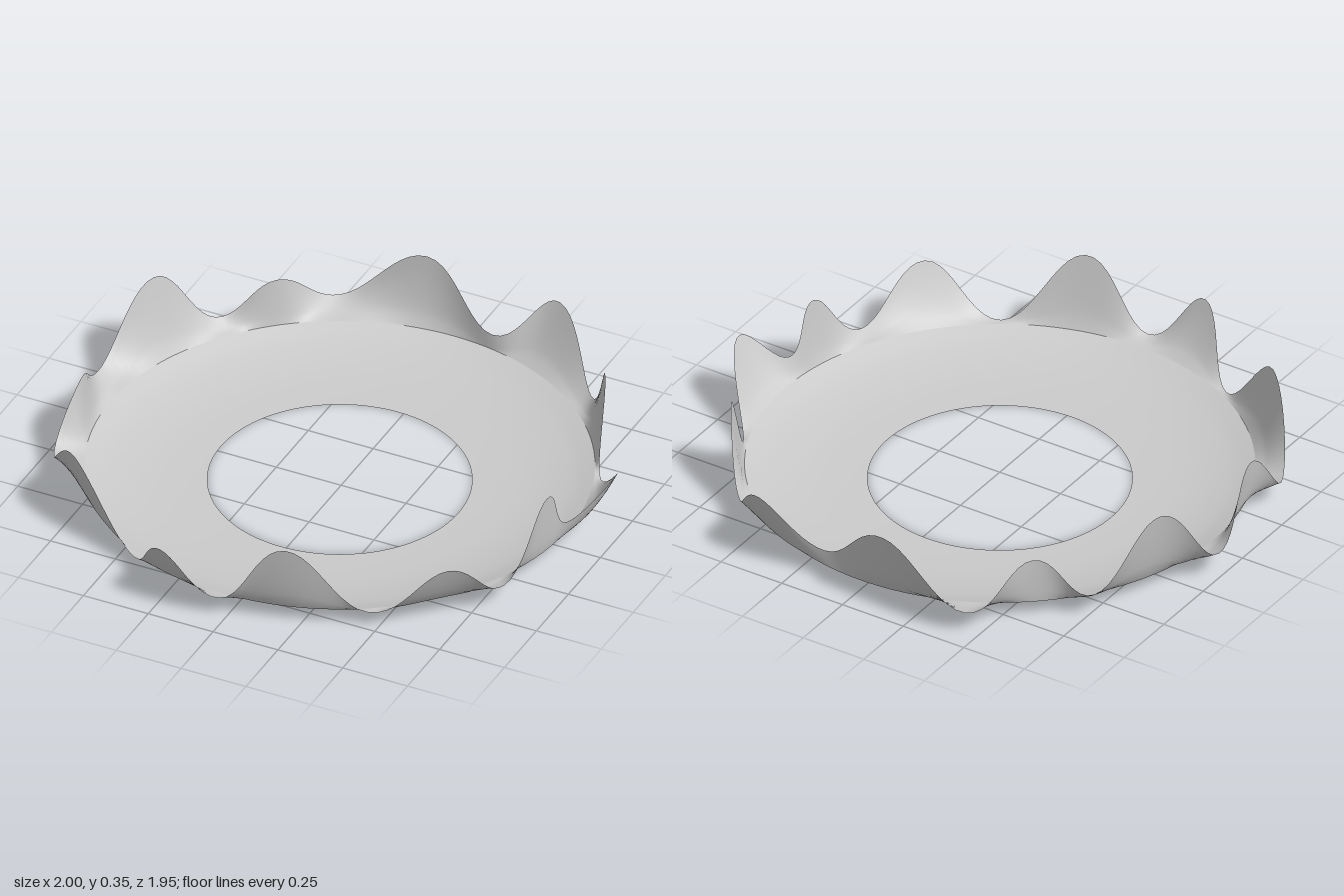
import * as THREE from 'three';

const CENTRE = new THREE.Vector3(-0.02, 0, -0.03);
const SEGMENTS = 240;

// Top edge of the crown, alternating peak and valley
const EDGE = [
  [-0.22, 0.26, 0.97], [-0.02, 0.08, 0.91],
  [0.22, 0.335, 0.885], [0.47, 0.06, 0.735],
  [0.73, 0.26, 0.65], [0.83, 0.08, 0.4],
  [0.875, 0.31, 0.165], [0.89, 0.14, 0.04],
  [1.0, 0.27, -0.13], [0.81, 0.055, -0.38],
  [0.74, 0.335, -0.565], [0.6, 0.1, -0.74],
  [0.37, 0.29, -0.96], [0.14, 0.12, -0.9],
  [-0.15, 0.315, -0.975], [-0.46, 0.09, -0.93],
  [-0.6, 0.24, -0.715], [-0.78, 0.1, -0.6],
  [-0.915, 0.355, -0.39], [-1.0, 0.1, -0.15],
  [-0.92, 0.27, 0.17], [-0.92, 0.09, 0.38],
  [-0.7, 0.31, 0.66], [-0.43, 0.06, 0.775],
];

// Shallow dish section: radius, height
const DISH = [[0.458, 0], [0.6, 0.004], [0.7, 0.015], [0.79, 0.03], [0.84, 0.045], [0.883, 0.06]];
const RIM = DISH[DISH.length - 1];

// Closed ring surface from rows of points
function ringSurface(rows) {
  const position = rows.flat().flatMap((p) => [p.x, p.y, p.z]);
  const index = [];
  for (let r = 0; r < rows.length - 1; r++) {
    for (let i = 0; i < SEGMENTS; i++) {
      const j = (i + 1) % SEGMENTS;
      const a = r * SEGMENTS + i, b = r * SEGMENTS + j;
      const c = a + SEGMENTS, d = b + SEGMENTS;
      index.push(a, c, b, b, c, d);
    }
  }
  const geometry = new THREE.BufferGeometry();
  geometry.setAttribute('position', new THREE.Float32BufferAttribute(position, 3));
  geometry.setIndex(index);
  geometry.computeVertexNormals();
  return geometry;
}

export function createModel() {
  const group = new THREE.Group();
  const material = new THREE.MeshStandardMaterial({ color: 0xcccccc, side: THREE.DoubleSide });

  const curve = new THREE.CatmullRomCurve3(
    EDGE.map((p) => new THREE.Vector3(...p)), true, 'catmullrom', 0.6);
  const edge = Array.from({ length: SEGMENTS }, (_, i) => curve.getPoint(i / SEGMENTS));

  // Point at a radius and height, in line with an edge point
  const along = (p, radius, y) => {
    const v = new THREE.Vector3(p.x - CENTRE.x, 0, p.z - CENTRE.z).setLength(radius).add(CENTRE);
    v.y = y;
    return v;
  };

  // Flat dish with a round hole
  const dishRows = DISH.map(([radius, y]) => edge.map((p) => along(p, radius, y)));
  const dish = new THREE.Mesh(ringSurface(dishRows), material);
  dish.name = 'dish';
  group.add(dish);

  // Wavy wall, curving out from the dish and up to the edge
  const wallRows = [0, 0.12, 0.25, 0.4, 0.6, 0.8, 1].map((t) => edge.map((p) => {
    const reach = Math.hypot(p.x - CENTRE.x, p.z - CENTRE.z);
    return along(p,
      THREE.MathUtils.lerp(RIM[0], reach, Math.pow(t, 0.65)),
      THREE.MathUtils.lerp(RIM[1], p.y, t));
  }));
  const wall = new THREE.Mesh(ringSurface(wallRows), material);
  wall.name = 'wavyWall';
  group.add(wall);

  return group;
}
